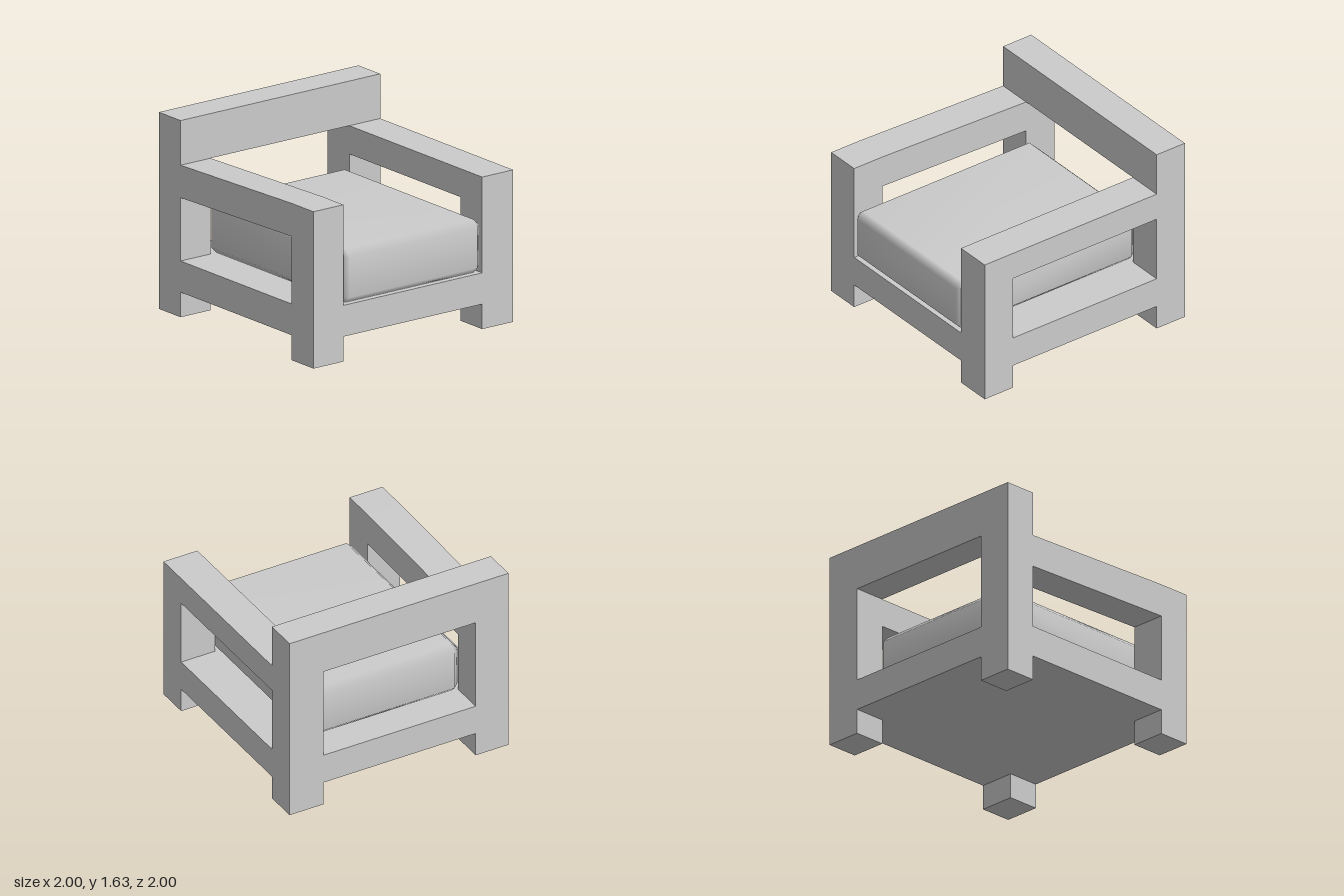
import * as THREE from 'three';
import { ConvexGeometry } from 'three/addons/geometries/ConvexGeometry.js';
import { mergeVertices } from 'three/addons/utils/BufferGeometryUtils.js';

const BACK = -1, BACK_POST = -0.72, FRONT_POST = 0.71, FRONT = 0.99;
const SEAT_LOW = 0.207, SEAT_TOP = 0.466, ARM_TOP = 1.26, TOP = 1.63;
const INNER_L = -0.7, INNER_R = 0.69;

const material = new THREE.MeshStandardMaterial({ color: 0xcccccc });

function add(group, name, geometry) {
  const mesh = new THREE.Mesh(geometry, material);
  mesh.name = name;
  group.add(mesh);
  return mesh;
}

function span(x0, x1, y0, y1, z0, z1) {
  return new THREE.BoxGeometry(x1 - x0, y1 - y0, z1 - z0)
    .translate((x0 + x1) / 2, (y0 + y1) / 2, (z0 + z1) / 2);
}

// Side frame: two posts, seat rail and arm, drawn in (z, y) and extruded along x
function sideFrame(x0, x1, armFront, underBack) {
  const points = (list) => list.map(([z, y]) => new THREE.Vector2(z, y));
  const shape = new THREE.Shape(points([
    [FRONT, 0], [FRONT, armFront], [FRONT_POST, armFront], [BACK_POST, ARM_TOP],
    [BACK_POST, TOP], [BACK, TOP], [BACK, 0], [BACK_POST, 0],
    [BACK_POST, SEAT_LOW], [FRONT_POST, SEAT_LOW], [FRONT_POST, 0],
  ]));
  shape.holes.push(new THREE.Path(points([
    [FRONT_POST, SEAT_TOP], [FRONT_POST, 1.025], [BACK_POST, underBack], [BACK_POST, SEAT_TOP],
  ])));
  return new THREE.ExtrudeGeometry(shape, { depth: x1 - x0, bevelEnabled: false })
    .rotateY(-Math.PI / 2).translate(x1, 0, 0);
}

// Box with one bevel step on every edge and smooth normals
function bevelledBox(w, h, d, b) {
  const half = [w / 2, h / 2, d / 2], corners = [];
  for (const sx of [-1, 1]) for (const sy of [-1, 1]) for (const sz of [-1, 1]) {
    const s = [sx, sy, sz];
    for (let face = 0; face < 3; face++) {
      corners.push(new THREE.Vector3(...half.map((v, i) => s[i] * (i === face ? v : v - b))));
    }
  }
  const geometry = new ConvexGeometry(corners);
  geometry.deleteAttribute('normal');
  const welded = mergeVertices(geometry);
  welded.computeVertexNormals();
  return welded;
}

export function createModel() {
  const chair = new THREE.Group();
  chair.name = 'armchair';

  // Side frames: the right arm rises gently to the front, the left is level
  add(chair, 'rightSideFrame', sideFrame(-1, INNER_L, 1.3, 0.99));
  add(chair, 'leftSideFrame', sideFrame(INNER_R, 1, ARM_TOP, 1.025));

  // Seat slab and backrest beam between the side frames
  add(chair, 'seatBase', span(INNER_L, INNER_R, SEAT_LOW, SEAT_TOP, BACK, FRONT));
  add(chair, 'backrest', span(INNER_L, INNER_R, ARM_TOP, TOP, BACK, BACK_POST));

  // Cushion fills the width between the posts
  const z0 = -0.765, z1 = 1, y0 = SEAT_TOP, y1 = 0.91;
  const cushion = add(chair, 'seatCushion', bevelledBox(INNER_R - INNER_L, y1 - y0, z1 - z0, 0.055));
  cushion.position.set((INNER_L + INNER_R) / 2, (y0 + y1) / 2, (z0 + z1) / 2);

  return chair;
}
